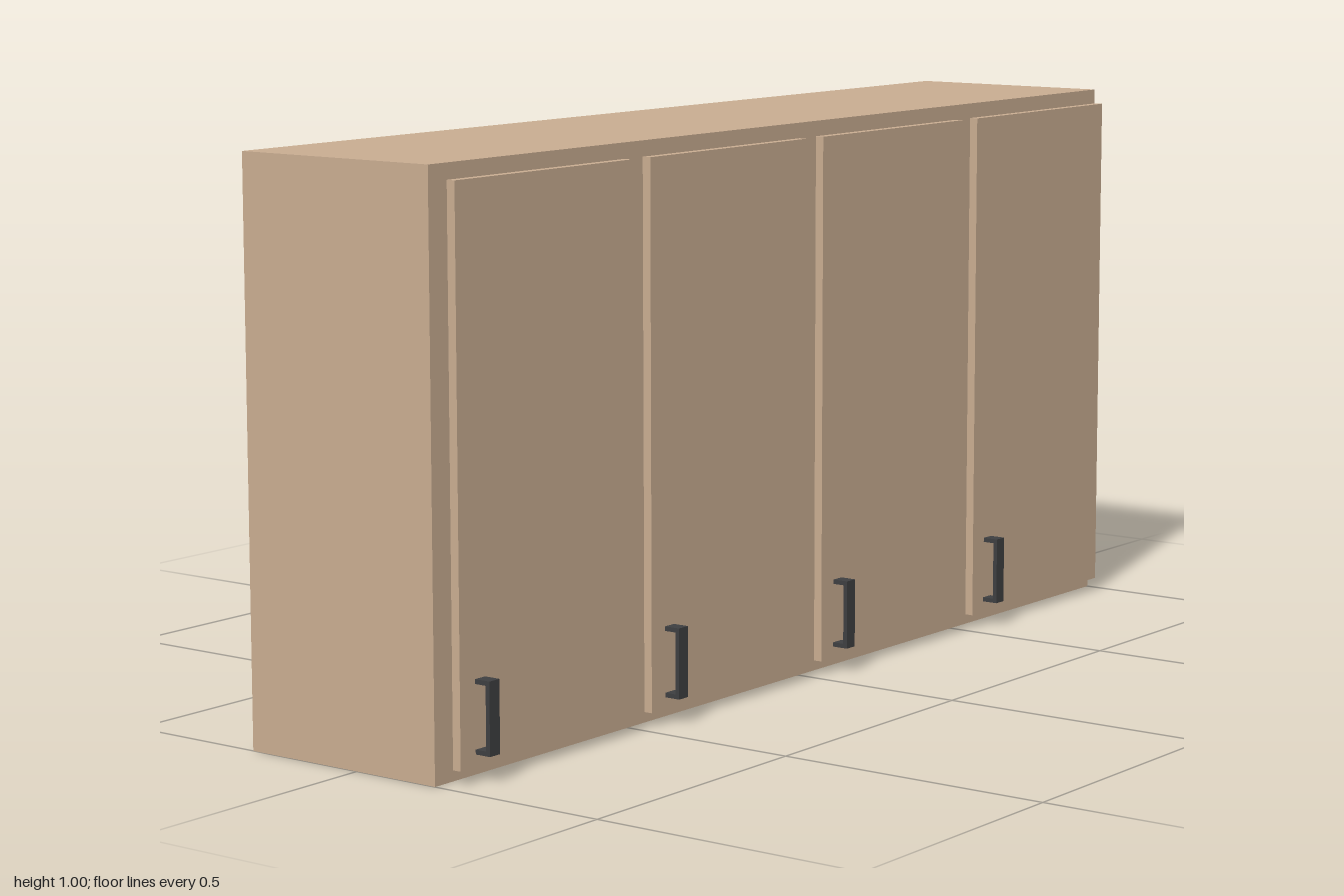
import * as THREE from 'three';

const wood = new THREE.MeshStandardMaterial({ color: 0xc9ad91, side: THREE.DoubleSide });
wood.name = 'wood';
const darkMetal = new THREE.MeshStandardMaterial({ color: 0x3e3f41 });
darkMetal.name = 'dark metal';

// Box mesh given by its lower and upper corners
function block(name, [x0, y0, z0], [x1, y1, z1], material) {
  const geometry = new THREE.BoxGeometry(x1 - x0, y1 - y0, z1 - z0);
  geometry.translate((x0 + x1) / 2, (y0 + y1) / 2, (z0 + z1) / 2);
  const mesh = new THREE.Mesh(geometry, material);
  mesh.name = name;
  return mesh;
}

// Bracket handle: a grip held by two short arms
function createHandle(z) {
  const handle = new THREE.Group();
  handle.name = 'handle';
  const w = 0.0125, t = 0.008;
  const door = 0.2, outer = 0.231, bottom = 0.046, top = 0.17;
  handle.add(
    block('grip', [outer - t, bottom, z - w], [outer, top, z + w], darkMetal),
    block('lowerArm', [door, bottom, z - w], [outer - t, bottom + t, z + w], darkMetal),
    block('upperArm', [door, top - t, z - w], [outer - t, top, z + w], darkMetal),
  );
  return handle;
}

export function createModel() {
  const cabinet = new THREE.Group();
  cabinet.name = 'wallCabinet';

  // Thin-walled carcass, open on the -x side
  const carcass = block('carcass', [-0.231, 0, -1], [0.168, 1, 1], wood);
  const faces = Array.from(carcass.geometry.index.array);
  faces.splice(6, 6);
  carcass.geometry.setIndex(faces);
  carcass.geometry.clearGroups();
  cabinet.add(carcass);

  // Four doors, each with a handle near its lower +z corner
  for (let i = 0; i < 4; i++) {
    const z = -0.75 + i * 0.5;
    const door = new THREE.Group();
    door.name = 'door' + (i + 1);
    door.add(
      block('doorPanel', [0.185, 0.025, z - 0.225], [0.201, 0.975, z + 0.225], wood),
      createHandle(z + 0.175),
    );
    cabinet.add(door);
  }
  return cabinet;
}
